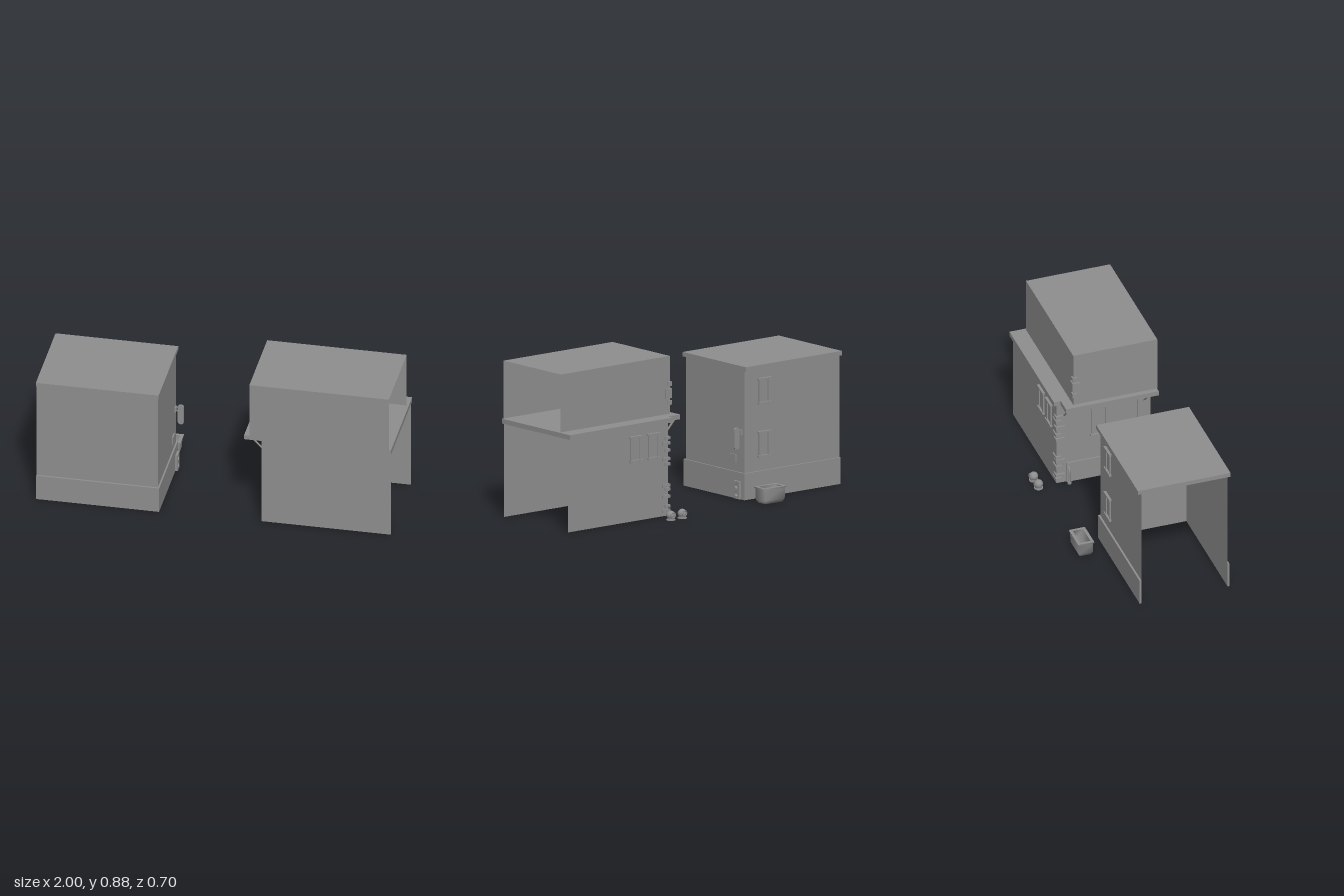
import * as THREE from 'three';

const grey = new THREE.MeshStandardMaterial({ color: 0x8e8e8e, side: THREE.DoubleSide });

function add(parent, name, geometry) {
  const mesh = new THREE.Mesh(geometry, grey);
  mesh.name = name;
  parent.add(mesh);
  return mesh;
}

// Box from its limits; faces lists which sides are kept (0 +x, 1 -x, 2 +y, 3 -y, 4 +z, 5 -z)
function block(parent, name, [x0, x1], [y0, y1], [z0, z1], faces) {
  const g = new THREE.BoxGeometry(x1 - x0, y1 - y0, z1 - z0);
  g.translate((x0 + x1) / 2, (y0 + y1) / 2, (z0 + z1) / 2);
  if (faces) {
    const index = Array.from(g.index.array);
    g.clearGroups();
    g.setIndex(faces.flatMap((f) => index.slice(f * 6, f * 6 + 6)));
  }
  return add(parent, name, g);
}

// Framed window, facing +z with its sill at the origin
function placeWindow(parent, w, h, x, y, z, turn) {
  const win = new THREE.Group();
  win.name = 'window';
  const half = w / 2;
  block(win, 'windowLintel', [-half, half], [h - 0.01, h], [0, 0.015]);
  block(win, 'windowSill', [-half, half], [0, 0.01], [0, 0.015]);
  for (const s of [-1, 1]) {
    const jx = s * (half - 0.015);
    block(win, 'windowJamb', [jx - 0.007, jx + 0.007], [0.01, h - 0.01], [0, 0.009]);
    block(win, 'sillBracket', [jx - 0.006, jx + 0.006], [-0.006, 0], [0, 0.01]);
  }
  block(win, 'windowPane', [-half + 0.02, half - 0.02], [0.01, h - 0.01], [0, 0.003]);
  win.position.set(x, y, z);
  win.rotation.y = turn;
  parent.add(win);
}

function makeLeftBuilding() {
  const b = new THREE.Group();
  b.name = 'leftBuilding';
  block(b, 'walls', [-1, -0.316], [0, 0.73], [-0.168, 0.335], [0, 4, 5]);
  block(b, 'roofSlab', [-1, -0.308], [0.727, 0.752], [-0.19, 0.353]);
  // Plinth strips around the three closed sides
  block(b, 'frontPlinth', [-1, -0.307], [0, 0.15], [0.335, 0.346]);
  block(b, 'backPlinth', [-1, -0.307], [0, 0.15], [-0.179, -0.168]);
  block(b, 'sidePlinth', [-0.316, -0.307], [0, 0.15], [-0.168, 0.335]);
  for (const y of [0.228, 0.528]) placeWindow(b, 0.095, 0.145, -0.455, y, -0.168, Math.PI);

  // Hanging sign with rounded ends, on two arms
  const s = new THREE.Shape();
  s.moveTo(-0.3, 0.3);
  s.quadraticCurveTo(-0.3, 0.285, -0.283, 0.285);
  s.quadraticCurveTo(-0.266, 0.285, -0.266, 0.3);
  s.lineTo(-0.266, 0.392);
  s.quadraticCurveTo(-0.266, 0.407, -0.283, 0.407);
  s.quadraticCurveTo(-0.3, 0.407, -0.3, 0.392);
  const sign = new THREE.ExtrudeGeometry(s, { depth: 0.01, bevelEnabled: false, curveSegments: 5 });
  add(b, 'hangingSign', sign.translate(0, 0, -0.144));
  for (const y of [0.365, 0.385]) block(b, 'signArm', [-0.316, -0.298], [y, y + 0.006], [-0.142, -0.136]);
  block(b, 'signMount', [-0.316, -0.308], [0.362, 0.394], [-0.15, -0.126]);

  // Wall box and a framed panel with two openings at the foot
  block(b, 'wallBox', [-0.316, -0.308], [0.2, 0.246], [-0.1, -0.05]);
  const panel = new THREE.Shape();
  panel.moveTo(-0.025, 0).lineTo(0.025, 0).lineTo(0.025, 0.1).lineTo(-0.025, 0.1);
  for (const y of [0.028, 0.072]) {
    const hole = new THREE.Path();
    hole.absarc(0, y, 0.014, 0, Math.PI * 2, true);
    panel.holes.push(hole);
  }
  const pg = new THREE.ExtrudeGeometry(panel, { depth: 0.014, bevelEnabled: false, curveSegments: 4 });
  add(b, 'footPanel', pg.rotateY(Math.PI / 2).translate(-0.307, 0.002, -0.125));
  return b;
}

function makeRightBuilding() {
  const b = new THREE.Group();
  b.name = 'rightBuilding';
  block(b, 'lowerWalls', [0.275, 0.998], [0, 0.527], [-0.218, 0.33], [1, 4, 5]);
  block(b, 'upperWalls', [0.202, 0.988], [0.55, 0.878], [-0.145, 0.347], [1, 2, 4, 5]);
  block(b, 'floorSlab', [0.26, 1], [0.525, 0.552], [-0.238, 0.345]);
  block(b, 'sideCornice', [0.172, 0.26], [0.525, 0.552], [-0.198, 0.345]);

  // Slender sloping brackets under the side cornice
  const tri = new THREE.Shape();
  tri.moveTo(0.188, 0.525).lineTo(0.275, 0.525).lineTo(0.275, 0.435);
  const cut = new THREE.Path();
  cut.moveTo(0.2, 0.521).lineTo(0.271, 0.521).lineTo(0.271, 0.447);
  tri.holes.push(cut);
  for (const z of [-0.18, 0.29]) {
    const g = new THREE.ExtrudeGeometry(tri, { depth: 0.01, bevelEnabled: false });
    add(b, 'corniceBracket', g.translate(0, 0, z));
  }

  // Side plinth, end pier and windows
  block(b, 'sidePlinth', [0.267, 0.275], [0, 0.125], [-0.16, 0.255]);
  block(b, 'endPier', [0.267, 0.275], [0, 0.525], [0.255, 0.33]);
  for (const x of [0.383, 0.512]) placeWindow(b, 0.092, 0.145, x, 0.335, -0.218, Math.PI);
  placeWindow(b, 0.11, 0.19, 0.275, 0.275, 0.035, -Math.PI / 2);

  // Corner stones of alternating length, each a plate on either side of the corner
  const stones = [0.02, 0.045, 0.1, 0.14, 0.162, 0.282, 0.312, 0.36, 0.4, 0.43];
  stones.forEach((y, i) => {
    const [back, side] = i % 2 ? [0.035, 0.055] : [0.055, 0.035];
    block(b, 'cornerStoneBack', [0.265, 0.265 + back], [y, y + 0.017], [-0.225, -0.218]);
    block(b, 'cornerStoneSide', [0.265, 0.275], [y, y + 0.017], [-0.218, -0.225 + side]);
  });

  // Boxes on the corner of the upper storey
  block(b, 'cornerBox', [0.193, 0.235], [0.64, 0.697], [-0.152, -0.108]);
  for (const y of [0.603, 0.709]) block(b, 'cornerBoxFitting', [0.193, 0.22], [y, y + 0.025], [-0.152, -0.124]);

  // Bent pipe from the wall to the ground
  const path = new THREE.CatmullRomCurve3([
    [0.275, 0.1], [0.262, 0.099], [0.251, 0.084], [0.249, 0.04], [0.249, 0],
  ].map(([x, y]) => new THREE.Vector3(x, y, -0.15)));
  add(b, 'bentPipe', new THREE.TubeGeometry(path, 14, 0.007, 8));
  add(b, 'pipeFoot', new THREE.CylinderGeometry(0.012, 0.012, 0.01, 10).translate(0.249, 0.005, -0.15));
  return b;
}

// Smooth open trough lofted from rectangular rings; doubled rings keep the rim sharp
function makeTrough() {
  const rings = [[0.06, 0.031, 0], [0.07, 0.041, 0.018], [0.071, 0.042, 0.082], [0.071, 0.042, 0.082],
    [0.079, 0.047, 0.082], [0.079, 0.047, 0.082], [0.079, 0.047, 0.09], [0.079, 0.047, 0.09],
    [0.062, 0.03, 0.09], [0.062, 0.03, 0.09], [0.06, 0.028, 0.02]];
  const pos = [];
  const idx = [];
  rings.forEach(([w, d, y], r) => {
    pos.push(-w, y, d, w, y, d, w, y, -d, -w, y, -d);
    for (let i = 0; r > 0 && i < 4; i++) {
      const a = (r - 1) * 4 + i, c = (r - 1) * 4 + (i + 1) % 4;
      idx.push(a, c, c + 4, a, c + 4, a + 4);
    }
  });
  const e = (rings.length - 1) * 4;
  idx.push(0, 2, 1, 0, 3, 2, e, e + 1, e + 2, e, e + 2, e + 3);
  const g = new THREE.BufferGeometry();
  g.setAttribute('position', new THREE.Float32BufferAttribute(pos, 3));
  g.setIndex(idx);
  g.computeVertexNormals();
  return g.translate(-0.388, 0, -0.304);
}

// Ground vent: flanged round cowl opening to the back
function makeVent(x) {
  const v = new THREE.Group();
  v.name = 'groundVent';
  add(v, 'ventFlange', new THREE.CylinderGeometry(0.026, 0.026, 0.005, 16).translate(0, 0.0025, -0.326));
  add(v, 'ventNeck', new THREE.CylinderGeometry(0.02, 0.02, 0.025, 16, 1, true).translate(0, 0.0125, -0.326));
  add(v, 'ventCowl', new THREE.SphereGeometry(0.025, 16, 12).translate(0, 0.028, -0.326));
  add(v, 'ventRim', new THREE.TorusGeometry(0.015, 0.004, 6, 16).translate(0, 0.03, -0.347));
  v.position.x = x;
  return v;
}

export function createModel() {
  const model = new THREE.Group();
  model.name = 'twoBuildings';
  model.add(makeLeftBuilding(), makeRightBuilding());
  add(model, 'trough', makeTrough());
  for (const x of [0.265, 0.346]) model.add(makeVent(x));
  return model;
}
